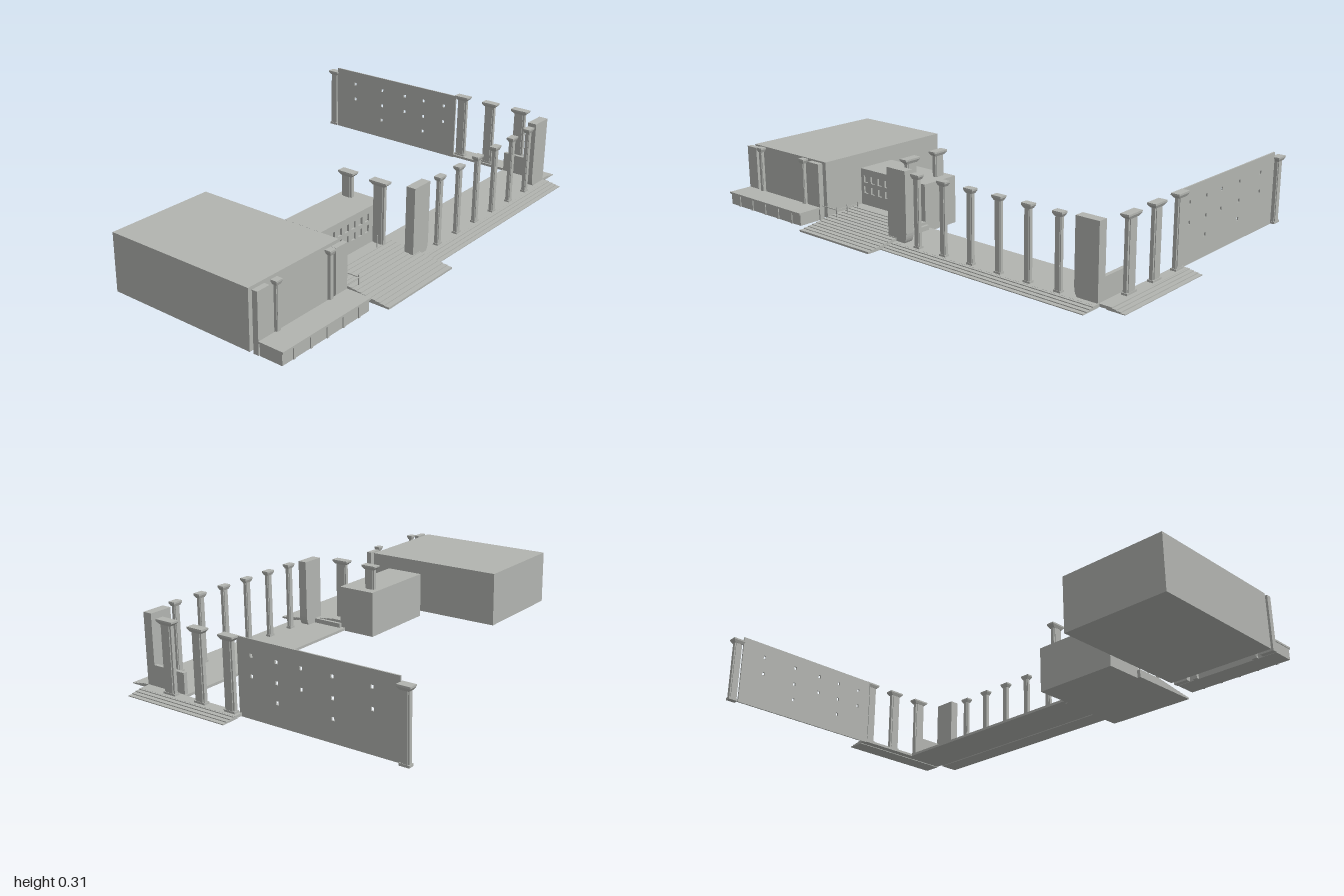
import * as THREE from 'three';

const stone = new THREE.MeshStandardMaterial({ color: 0xb2b4b0 });
stone.name = 'grey stone';

export function createModel() {
  const model = new THREE.Group();
  model.name = 'colonnadeComplex';

  const add = (name, geometry, parent = model) => {
    const mesh = new THREE.Mesh(geometry, stone);
    mesh.name = name;
    parent.add(mesh);
    return mesh;
  };

  // Box given by its minimum and maximum corners
  const box = (name, x0, x1, y0, y1, z0, z1, parent = model) => {
    const g = new THREE.BoxGeometry(x1 - x0, y1 - y0, z1 - z0);
    g.translate((x0 + x1) / 2, (y0 + y1) / 2, (z0 + z1) / 2);
    return add(name, g, parent);
  };

  // Upright panel in the XY plane with rectangular holes [centreX, centreY, w, h]
  const panel = (w0, w1, h0, h1, depth, holes) => {
    const rect = (P, x0, x1, y0, y1) => {
      const p = new P();
      p.moveTo(x0, y0);
      p.lineTo(x1, y0);
      p.lineTo(x1, y1);
      p.lineTo(x0, y1);
      p.closePath();
      return p;
    };
    const shape = rect(THREE.Shape, w0, w1, h0, h1);
    for (const [x, y, w, h] of holes) {
      shape.holes.push(rect(THREE.Path, x - w / 2, x + w / 2, y - h / 2, y + h / 2));
    }
    return new THREE.ExtrudeGeometry(shape, { depth, bevelEnabled: false });
  };

  // Column: foot, stepped shaft, flared neck and top slab
  const column = (name, x, z, w, d, y0, y1) => {
    const c = new THREE.Group();
    c.name = name;
    const sw = w * 0.6, sd = d * 0.65;
    const centred = (part, bw, bd, a, b) => box(part, -bw / 2, bw / 2, a, b, -bd / 2, bd / 2, c);
    centred('foot', sw * 1.15, sd * 1.15, y0, y0 + 0.01);
    centred('shaftCore', sw, sd * 0.7, y0, y1 - 0.018);
    centred('shaftRib', sw * 0.7, sd, y0, y1 - 0.018);
    const neck = new THREE.CylinderGeometry(Math.SQRT1_2, Math.SQRT1_2 * 0.68, 0.012, 4, 1).toNonIndexed();
    neck.rotateY(Math.PI / 4);
    neck.scale(w, 1, d);
    neck.translate(0, y1 - 0.013, 0);
    neck.computeVertexNormals();
    add('neck', neck, c);
    centred('topSlab', w, d, y1 - 0.007, y1);
    c.position.set(x, 0, z);
    model.add(c);
  };

  // Large hall with its front wings
  box('hall', -1, -0.53, 0, 0.24, -0.16, 0.5);
  box('hallWingRight', -1, -0.94, 0, 0.24, 0.517, 0.54);
  box('hallWingLeft', -0.595, -0.53, 0, 0.24, 0.517, 0.54);
  for (const x of [-0.905, -0.625]) column('hallColumn', x, 0.54, 0.032, 0.026, 0, 0.248);

  // Panelled plinth before the hall
  box('plinthBody', -0.997, -0.533, 0, 0.047, 0.543, 0.641);
  box('plinthTop', -1, -0.53, 0.047, 0.055, 0.54, 0.647);
  for (let i = 0; i < 5; i++) {
    const x = -0.938 + i * 0.0868;
    box('plinthPier', x - 0.005, x + 0.005, 0, 0.047, 0.63, 0.645);
  }

  // Middle block with recessed windows
  box('middleBlock', -0.465, -0.09, 0, 0.2, 0.19, 0.357);
  const windows = [];
  for (let i = 0; i < 7; i++) {
    for (const y of [0.11, 0.157]) windows.push([-0.437 + i * 0.042, y, 0.024, 0.03]);
  }
  add('middleFront', panel(-0.465, -0.09, 0, 0.2, 0.008, windows)).position.z = 0.357;

  // Broad stair descending from the middle block
  const steps = 14;
  for (let i = 0; i < steps; i++) {
    const z1 = 0.69 - i * 0.021;
    const y0 = i === 0 ? 0 : 0.008 + (i - 1) * 0.0028;
    const e = z1 > 0.48 ? 0 : 0.014;
    box('broadStep', -0.48 + e, -0.075 - e, y0, 0.008 + i * 0.0028, 0.36, z1);
  }

  // Thin railing between hall and stair
  box('railFront', -0.53, -0.44, 0.058, 0.061, 0.524, 0.527);
  box('railSide', -0.443, -0.44, 0.058, 0.061, 0.41, 0.527);
  for (const z of [0.41, 0.468, 0.525]) {
    box('railPost', -0.4435, -0.4395, 0.02, 0.07, z - 0.002, z + 0.002);
  }
  box('railPostEnd', -0.182, -0.178, 0.04, 0.095, 0.41, 0.414);

  // Terrace floors and their low steps
  box('terrace', -0.09, 0.895, 0.003, 0.014, 0.34, 0.56);
  box('sideTerrace', 0.895, 0.94, 0.003, 0.014, 0.05, 0.535);
  for (let i = 0; i < 4; i++) {
    const y1 = 0.0034 * (i + 1);
    box('terraceStep', -0.08, 0.895, y1 - 0.0034, y1, 0.54, 0.625 - i * 0.018);
    box('sideStep', 0.925, 1 - i * 0.018, y1 - 0.0034, y1, 0.05, 0.535);
  }

  // Front colonnade
  for (let i = 0; i < 6; i++) {
    column('frontColumn', 0.046 + i * 0.136, 0.541, 0.044, 0.03, 0.012, 0.307);
  }

  // Corner piers, with the inner bottom edge curving in
  for (const [name, x, side] of [['pierRight', -0.07, 1], ['pierLeft', 0.842, -1]]) {
    const h = 0.05 * side;
    const s = new THREE.Shape();
    s.moveTo(-h, 0.012);
    s.lineTo(h * 0.72, 0.012);
    s.quadraticCurveTo(h * 0.96, 0.022, h, 0.052);
    s.lineTo(h, 0.305);
    s.lineTo(-h, 0.305);
    s.closePath();
    const g = new THREE.ExtrudeGeometry(s, { depth: 0.04, bevelEnabled: false, curveSegments: 5 });
    add(name, g).position.set(x, 0, 0.5);
  }
  box('lowWall', 0.876, 0.892, 0.012, 0.1, 0.345, 0.5);

  // Side colonnades
  for (const [z, d] of [[0.392, 0.08], [0.236, 0.072], [0.088, 0.07]]) {
    column('sideColumn', 0.915, z, 0.036, d, 0.012, 0.307);
    if (z > 0.2) column('innerColumn', -0.141, z, 0.036, d, 0.03, 0.307);
  }

  // Long thin wall pierced by small windows, ending in a column
  const holes = [];
  for (const z of [-0.005, -0.12, -0.23, -0.365, -0.53]) {
    for (const y of [0.09, 0.165, 0.243]) {
      if (y > 0.1 || z === -0.12 || z === -0.365) holes.push([-z, y, 0.012, 0.014]);
    }
  }
  const wall = add('longWall', panel(-0.06, 0.642, 0, 0.305, 0.006, holes));
  wall.rotation.y = Math.PI / 2;
  wall.position.x = 0.895;
  column('wallEndColumn', 0.905, -0.667, 0.036, 0.056, 0, 0.284);

  return model;
}
